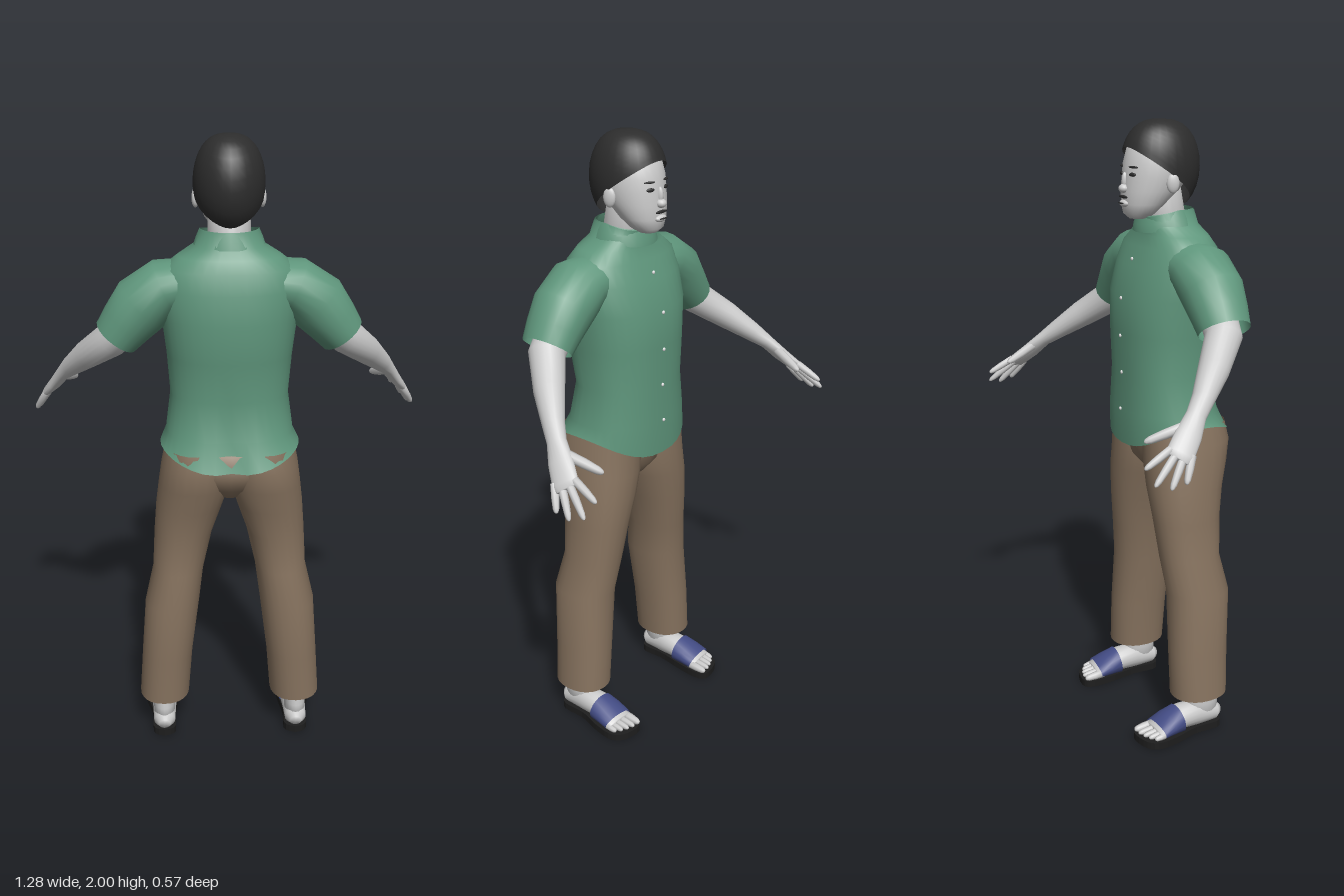
import * as THREE from 'three';

const material = (name, color, side = THREE.DoubleSide) => {
  const m = new THREE.MeshStandardMaterial({ color, side });
  m.name = name;
  return m;
};
const M = {
  skin: material('skin', 0xcbcbcb),
  hair: material('hair', 0x2d2d2d),
  shirt: material('shirt green', 0x5f967c),
  trousers: material('trouser brown', 0x87735f),
  strap: material('strap blue', 0x434c85),
  sole: material('sole black', 0x1e1e1e),
  button: material('button white', 0xdedede),
};
const V = (x, y, z) => new THREE.Vector3(x, y, z);

function mesh(name, geometry, mat) {
  const m = new THREE.Mesh(geometry, mat);
  m.name = name;
  return m;
}

// Skin a chain of oval rings [x, y, z, radius along side, other radius].
// level keeps rings horizontal; warp(point, ring, angle) adjusts points.
function loft(name, rings, mat, { side = V(1, 0, 0), level = false, seg = 20, cap = true, square = 1, warp } = {}) {
  const pos = [], idx = [], n = rings.length;
  const centre = rings.map(r => V(r[0], r[1], r[2]));
  const power = c => Math.sign(c) * Math.abs(c) ** square;
  rings.forEach((r, i) => {
    const t = level ? V(0, 1, 0)
      : centre[Math.min(i + 1, n - 1)].clone().sub(centre[Math.max(i - 1, 0)]).normalize();
    const u = side.clone().addScaledVector(t, -side.dot(t)).normalize();
    const v = t.clone().cross(u);
    for (let j = 0; j < seg; j++) {
      const a = j / seg * Math.PI * 2;
      const p = centre[i].clone()
        .addScaledVector(u, power(Math.cos(a)) * r[3])
        .addScaledVector(v, power(Math.sin(a)) * r[4]);
      if (warp) warp(p, i, a);
      pos.push(p.x, p.y, p.z);
      if (i < n - 1) {
        const k = i * seg, q = k + (j + 1) % seg;
        idx.push(k + j, q, k + j + seg, q, q + seg, k + j + seg);
      }
    }
  });
  if (cap) {
    pos.push(...centre[0], ...centre[n - 1]);
    for (let j = 0; j < seg; j++) {
      const k = (j + 1) % seg, e = (n - 1) * seg;
      idx.push(n * seg, k, j, n * seg + 1, e + j, e + k);
    }
  }
  const g = new THREE.BufferGeometry();
  g.setAttribute('position', new THREE.Float32BufferAttribute(pos, 3));
  g.setIndex(idx);
  g.computeVertexNormals();
  return mesh(name, g, mat);
}

// Tapered round-tipped finger or toe
function digit(name, from, to, r) {
  const rings = [[0, 1], [0.5, 0.95], [0.85, 0.75], [0.96, 0.5], [1, 0.2]].map(([t, k]) =>
    [...from.clone().lerp(to, t), r * k, r * k]);
  return loft(name, rings, M.skin, { seg: 8, side: V(1, 0, 0.1) });
}

function blob(name, mat, x, y, z, rx, ry, rz, turn = 0) {
  const m = mesh(name, new THREE.SphereGeometry(1, 14, 10), mat);
  m.position.set(x, y, z);
  m.scale.set(rx, ry, rz);
  m.rotation.y = turn;
  return m;
}

function makeHead() {
  const head = new THREE.Group();
  head.name = 'head';
  head.add(loft('neck', [[0, 1.64, 0.1, 0.068, 0.07], [0, 1.8, 0.075, 0.062, 0.065]], M.skin, { level: true }));
  head.add(loft('face', [
    [0, 1.705, 0.0, 0.028, 0.03], [0, 1.72, 0.003, 0.052, 0.05], [0, 1.75, 0.02, 0.072, 0.072],
    [0, 1.79, 0.04, 0.086, 0.092], [0, 1.83, 0.06, 0.095, 0.108], [0, 1.87, 0.07, 0.098, 0.114],
    [0, 1.92, 0.075, 0.09, 0.105], [0, 1.96, 0.08, 0.065, 0.075],
  ], M.skin, { level: true, seg: 28 }));
  head.add(blob('nose', M.skin, 0, 1.797, -0.05, 0.017, 0.014, 0.018));
  head.add(blob('noseBridge', M.skin, 0, 1.82, -0.047, 0.009, 0.026, 0.011));
  head.add(blob('lips', M.skin, 0, 1.752, -0.05, 0.024, 0.011, 0.012));
  head.add(blob('moustache', M.hair, 0, 1.772, -0.053, 0.027, 0.005, 0.0045));
  head.add(blob('mouthLine', M.hair, 0, 1.753, -0.061, 0.018, 0.0025, 0.003));
  for (const s of [1, -1]) {
    head.add(blob('eye', M.hair, s * 0.036, 1.84, -0.04, 0.014, 0.006, 0.0045, -s * 0.35));
    head.add(blob('eyebrow', M.hair, s * 0.038, 1.862, -0.038, 0.019, 0.0035, 0.0045, -s * 0.38));
    head.add(blob('ear', M.skin, s * 0.099, 1.815, 0.065, 0.011, 0.03, 0.02, s * 0.3));
  }
  // Hair shell, cut on a slope from forehead to nape
  const rows = 12, cap = Array.from({ length: rows }, () => [0, 0, 0, 1, 1]);
  head.add(loft('hair', cap, M.hair, {
    level: true, seg: 28, cap: false,
    warp: (p, i) => {
      const x = p.x, z = p.z, hem = 1.83 - 0.09 * z;
      const a = Math.acos((hem - 1.86) / 0.14) * (1 - i / (rows - 1));
      const r = Math.sin(a) ** 0.75;
      p.set(0.107 * r * x, 1.86 + 0.14 * Math.cos(a), 0.075 + 0.127 * r * z);
    },
  }));
  return head;
}

function makeShirt() {
  const shirt = new THREE.Group();
  shirt.name = 'shirt';
  const rings = [
    [0, 1.03, 0.11, 0.218, 0.172], [0, 1.1, 0.09, 0.2, 0.155], [0, 1.22, 0.08, 0.184, 0.14],
    [0, 1.35, 0.09, 0.193, 0.155], [0, 1.47, 0.095, 0.207, 0.156], [0, 1.56, 0.106, 0.215, 0.136],
    [0, 1.62, 0.11, 0.2, 0.116], [0, 1.655, 0.11, 0.155, 0.1], [0, 1.685, 0.1, 0.105, 0.09],
    [0, 1.73, 0.092, 0.088, 0.087],
  ];
  shirt.add(loft('shirtBody', rings, M.shirt, {
    level: true, seg: 36, cap: false, square: 0.85,
    warp: (p, i, a) => {
      const s = Math.sin(a);
      if (i === 0) p.y = 1.065 - (s > 0 ? 0.08 : 0.058) * s * s;
      if (i < 2 && s < 0) p.z -= (0.025 - 0.012 * i) * Math.exp(-((p.x / 0.04) ** 2));
      if (i === 9 && s > 0) p.y -= 0.02 * s;
    },
  }));
  // Turned-down collar
  shirt.add(loft('collar', [
    [0, 1.682, 0.094, 0.108, 0.101], [0, 1.705, 0.092, 0.1, 0.096], [0, 1.732, 0.092, 0.088, 0.087],
  ], M.shirt, {
    level: true, seg: 28, cap: false,
    warp: (p, i, a) => { if (Math.sin(a) > 0) p.y -= 0.02 * Math.sin(a); },
  }));
  for (const s of [1, -1]) {
    shirt.add(loft('sleeve', [
      [s * 0.11, 1.575, 0.11, 0.09, 0.07], [s * 0.195, 1.56, 0.11, 0.102, 0.085],
      [s * 0.265, 1.505, 0.11, 0.098, 0.094], [s * 0.31, 1.45, 0.108, 0.09, 0.082],
      [s * 0.345, 1.405, 0.105, 0.083, 0.072],
    ], M.shirt, { side: V(0, 0, 1), cap: false }));
  }
  // Buttons follow the shirt front
  for (let y = 1.1; y < 1.65; y += 0.12) {
    const k = rings.findIndex(r => r[1] > y), a = rings[k - 1], b = rings[k];
    const t = (y - a[1]) / (b[1] - a[1]), front = r => r[2] - r[4];
    shirt.add(blob('button', M.button, 0, y, THREE.MathUtils.lerp(front(a), front(b), t) - 0.001, 0.006, 0.006, 0.004));
  }
  return shirt;
}

function makeTrousers() {
  const trousers = new THREE.Group();
  trousers.name = 'trousers';
  trousers.add(loft('hips', [
    [0, 0.885, 0.1, 0.05, 0.07], [0, 0.93, 0.108, 0.14, 0.115], [0, 0.98, 0.115, 0.2, 0.135],
    [0, 1.06, 0.11, 0.2, 0.145],
  ], M.trousers, { level: true, seg: 28 }));
  for (const s of [1, -1]) {
    trousers.add(loft('trouserLeg', [
      [0.222, 0.14, 0.11, 0.083, 0.096], [0.21, 0.3, 0.112, 0.084, 0.1], [0.19, 0.5, 0.12, 0.089, 0.105],
      [0.168, 0.62, 0.1, 0.083, 0.102], [0.15, 0.75, 0.096, 0.094, 0.112], [0.129, 0.85, 0.1, 0.107, 0.126],
      [0.112, 0.93, 0.111, 0.114, 0.139], [0.106, 1, 0.117, 0.11, 0.146], [0.103, 1.06, 0.11, 0.1, 0.14],
    ].map(([x, ...r]) => [s * x, ...r]), M.trousers, { level: true, cap: false, square: 0.92, seg: 24 }));
  }
  return trousers;
}

function makeArm(s) {
  const arm = new THREE.Group();
  arm.name = s > 0 ? 'leftArm' : 'rightArm';
  const side = V(s * 0.05, -0.04, 0.11).normalize();
  arm.add(loft('forearmAndPalm', [
    [0.28, 1.47, 0.11, 0.058, 0.058], [0.36, 1.392, 0.092, 0.057, 0.055], [0.44, 1.32, 0.01, 0.047, 0.045],
    [0.5, 1.258, -0.06, 0.034, 0.032], [0.53, 1.223, -0.1, 0.03, 0.023], [0.558, 1.18, -0.14, 0.039, 0.02],
    [0.588, 1.14, -0.183, 0.041, 0.015], [0.596, 1.13, -0.196, 0.033, 0.009],
  ].map(([x, ...r]) => [s * x, ...r]), M.skin, { side }));
  const tips = [[0.58, 1.11, -0.29], [0.617, 1.07, -0.278], [0.632, 1.058, -0.235], [0.635, 1.068, -0.19]];
  tips.forEach(([x, y, z], i) => {
    const base = V(s * 0.585, 1.143, -0.178).addScaledVector(side, (i - 1.5) * 0.021);
    arm.add(digit('finger', base, V(s * x, y, z), 0.0125));
  });
  arm.add(digit('thumb', V(s * 0.538, 1.2, -0.14), V(s * 0.502, 1.16, -0.25), 0.016));
  return arm;
}

function makeFoot(s) {
  const foot = new THREE.Group();
  foot.name = s > 0 ? 'leftFoot' : 'rightFoot';
  const flip = rings => rings.map(([x, ...r]) => [s * x, ...r]);
  foot.add(loft('ankle', flip([
    [0.225, 0.045, 0.125, 0.036, 0.058], [0.225, 0.1, 0.125, 0.036, 0.056], [0.222, 0.3, 0.115, 0.042, 0.05],
  ]), M.skin, { level: true }));
  foot.add(loft('footBody', flip([
    [0.225, 0.045, 0.188, 0.02, 0.02], [0.225, 0.05, 0.17, 0.036, 0.032], [0.225, 0.06, 0.1, 0.04, 0.046],
    [0.225, 0.06, 0.04, 0.045, 0.042], [0.228, 0.048, -0.01, 0.051, 0.032], [0.231, 0.037, -0.062, 0.053, 0.018],
  ]), M.skin));
  [[0.19, -0.115, 0.015], [0.215, -0.113, 0.012], [0.237, -0.106, 0.0115], [0.257, -0.096, 0.011], [0.275, -0.083, 0.011]]
    .forEach(([x, z, r]) => foot.add(digit('toe', V(s * x, 0.036, -0.045), V(s * x, 0.031, z), r)));
  // Sandal
  foot.add(loft('sandalStrap', flip([
    [0.226, 0.056, 0.03, 0.053, 0.048], [0.228, 0.05, -0.01, 0.058, 0.038], [0.231, 0.04, -0.052, 0.059, 0.026],
  ]), M.strap, { cap: false }));
  const outline = [[0.225, -0.192], [0.262, -0.17], [0.264, -0.08], [0.285, 0], [0.291, 0.07],
    [0.262, 0.108], [0.195, 0.119], [0.173, 0.08], [0.178, 0], [0.19, -0.09], [0.188, -0.17]];
  const curve = new THREE.SplineCurve([...outline, outline[0]].map(([x, y]) => new THREE.Vector2(s * x, y)));
  const sole = new THREE.ExtrudeGeometry(new THREE.Shape(curve.getPoints(40)), { depth: 0.024, bevelEnabled: false });
  foot.add(mesh('sandalSole', sole.rotateX(-Math.PI / 2), M.sole));
  return foot;
}

export function createModel() {
  const figure = new THREE.Group();
  figure.name = 'figure';
  figure.add(makeHead(), makeShirt(), makeTrousers());
  for (const s of [1, -1]) figure.add(makeArm(s), makeFoot(s));
  return figure;
}
